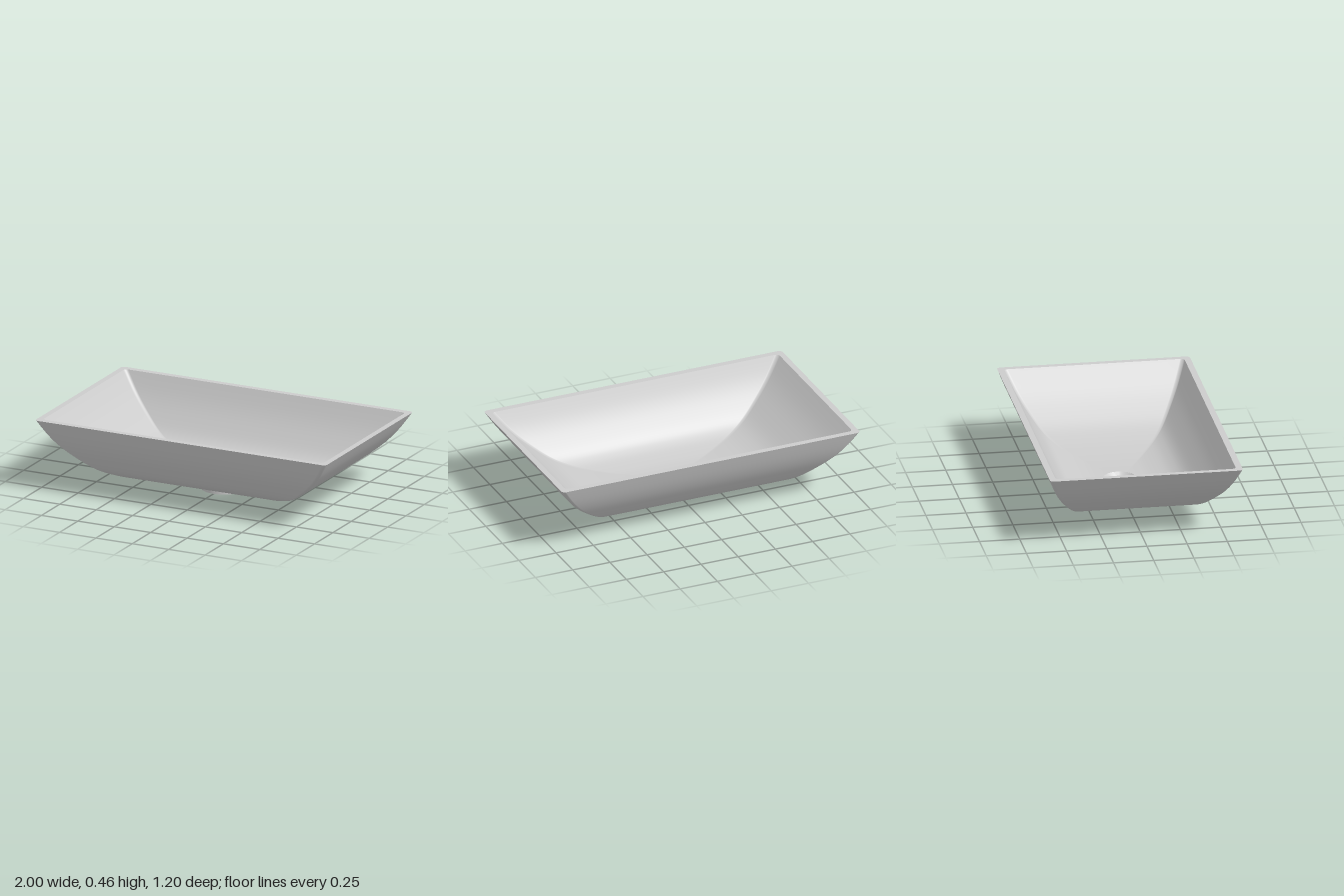
import * as THREE from 'three';
import { toCreasedNormals } from 'three/addons/utils/BufferGeometryUtils.js';

const RIM_Y = 0.46;
const material = new THREE.MeshStandardMaterial({ color: 0xcccccc });

// Closed rounded-rectangle outline as [x, z] pairs, with subdivided sides
function outline(hx, hz, r, arcSteps = 8, sideSteps = 14) {
  const pts = [];
  const corners = [[1, 1], [-1, 1], [-1, -1], [1, -1]];
  corners.forEach(([sx, sz], c) => {
    for (let i = 0; i <= arcSteps; i++) {
      const a = (c + i / arcSteps) * Math.PI / 2;
      pts.push([sx * (hx - r) + r * Math.cos(a), sz * (hz - r) + r * Math.sin(a)]);
    }
    const [x, z] = pts[pts.length - 1];
    const [nx, nz] = corners[(c + 1) % 4];
    const alongX = c % 2 === 0;
    const ex = alongX ? nx * (hx - r) : x;
    const ez = alongX ? z : nz * (hz - r);
    for (let i = 1; i < sideSteps; i++) {
      const f = i / sideSteps;
      pts.push([x + (ex - x) * f, z + (ez - z) * f]);
    }
  });
  return pts;
}

// Skin a list of closed rings; rings running outward face up
function skin(rings) {
  const n = rings[0].length;
  const index = [];
  for (let k = 0; k < rings.length - 1; k++) {
    for (let i = 0; i < n; i++) {
      const a = k * n + i, b = k * n + (i + 1) % n;
      index.push(a, b, a + n, b, b + n, a + n);
    }
  }
  const geo = new THREE.BufferGeometry();
  geo.setAttribute('position', new THREE.Float32BufferAttribute(rings.flat(2), 3));
  geo.setIndex(index);
  geo.computeVertexNormals();
  return geo;
}

// Height as a smooth function of the fraction from centre to rim
function heightFunction(profile) {
  const pts = new THREE.SplineCurve(profile.map(p => new THREE.Vector2(...p))).getPoints(300);
  return t => {
    let i = 1;
    while (i < pts.length - 1 && pts[i].x < t) i++;
    const a = pts[i - 1], b = pts[i];
    return a.y + (b.y - a.y) * THREE.MathUtils.clamp((t - a.x) / (b.x - a.x), 0, 1);
  };
}

// Rings from a round hole out to the rectangular rim
function bowlRings(rim, profile, holeRadius, steps = 32) {
  const height = heightFunction(profile);
  const rings = [];
  for (let k = 0; k <= steps; k++) {
    rings.push(rim.map(([x, z]) => {
      const t0 = holeRadius / Math.hypot(x, z);
      const t = t0 + (1 - t0) * k / steps;
      return [x * t, height(t), z * t];
    }));
  }
  return rings;
}

export function createModel() {
  const group = new THREE.Group();
  const add = (name, geometry) => {
    const mesh = new THREE.Mesh(geometry, material);
    mesh.name = name;
    group.add(mesh);
  };

  const outerRim = outline(1, 0.6, 0.025);
  const innerRim = outline(0.963, 0.561, 0.025);

  // Underside of the basin
  add('outerShell', skin(bowlRings(outerRim, [
    [0.08, 0.043], [0.2, 0.045], [0.333, 0.053], [0.5, 0.076], [0.6, 0.102], [0.667, 0.128],
    [0.733, 0.17], [0.833, 0.25], [0.9, 0.318], [0.95, 0.383], [1, RIM_Y],
  ], 0.12).reverse()));

  // Inside of the basin
  add('innerBowl', skin(bowlRings(innerRim, [
    [0.08, 0.075], [0.2, 0.077], [0.333, 0.084], [0.5, 0.106], [0.6, 0.132], [0.667, 0.16],
    [0.733, 0.202], [0.833, 0.28], [0.9, 0.342], [0.95, 0.398], [1, RIM_Y],
  ], 0.1)));

  // Flat top edge
  add('rim', skin([innerRim, outerRim].map(loop => loop.map(([x, z]) => [x, RIM_Y, z]))));

  // Drain: bevelled mouth, bore and foot collar
  const drain = [[0.102, 0.077], [0.075, 0.05], [0.075, 0], [0.143, 0], [0.143, 0.048]];
  add('drainCollar', toCreasedNormals(
    new THREE.LatheGeometry(drain.map(p => new THREE.Vector2(...p)), 64), 0.5));

  return group;
}
